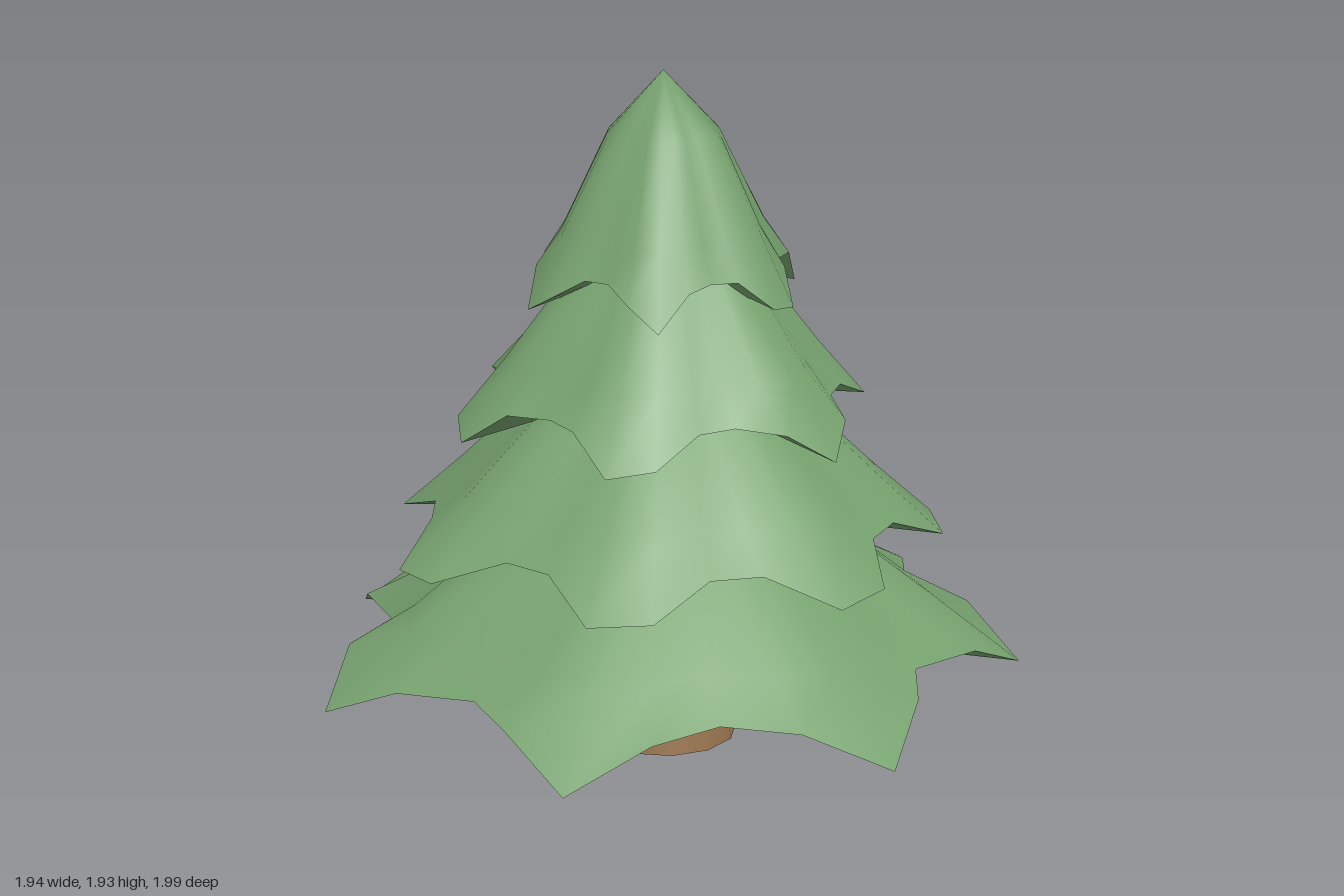
import * as THREE from 'three';

const SEGMENTS = 28;
const CENTRE_X = -0.05;

// Profile of a tier from rim to apex: radius factor, height above rim, lobe depth, tip droop
const RINGS = [
  [1.0, 0.0, 0.13, 0.108],
  [0.79, 0.105, 0.08, 0.015],
  [0.44, 0.36, 0.04, 0],
];
const APEX_HEIGHT = 0.53;

function ringPoints([factor, height, depth, droop], radius, lobes, phase) {
  const points = [];
  for (let j = 0; j < SEGMENTS; j++) {
    const angle = (j / SEGMENTS) * Math.PI * 2;
    const wave = Math.cos(lobes * angle - phase);
    const r = radius * factor * (1 + depth * wave);
    points.push(r * Math.cos(angle), height - droop * Math.max(0, wave), -r * Math.sin(angle));
  }
  return points;
}

function buildGeometry(positions, index) {
  const geometry = new THREE.BufferGeometry();
  geometry.setAttribute('position', new THREE.Float32BufferAttribute(positions, 3));
  geometry.setIndex(index);
  return geometry;
}

// Smooth scalloped skirt, closed by an apex
function skirtGeometry(radius, lobes, phase) {
  const positions = RINGS.flatMap((ring) => ringPoints(ring, radius, lobes, phase));
  const apex = RINGS.length * SEGMENTS;
  positions.push(0, APEX_HEIGHT, 0);
  const index = [];
  for (let i = 0; i < RINGS.length; i++) {
    for (let j = 0; j < SEGMENTS; j++) {
      const a = i * SEGMENTS + j;
      const b = i * SEGMENTS + ((j + 1) % SEGMENTS);
      if (i === RINGS.length - 1) index.push(a, b, apex);
      else index.push(a, b, b + SEGMENTS, a, b + SEGMENTS, a + SEGMENTS);
    }
  }
  const geometry = buildGeometry(positions, index);
  geometry.computeVertexNormals();
  return geometry;
}

// Flat-shaded fan closing the tier from below
function undersideGeometry(radius, lobes, phase) {
  const positions = ringPoints(RINGS[0], radius, lobes, phase);
  positions.push(0, 0, 0);
  const index = [];
  for (let j = 0; j < SEGMENTS; j++) index.push(SEGMENTS, (j + 1) % SEGMENTS, j);
  const geometry = buildGeometry(positions, index).toNonIndexed();
  geometry.computeVertexNormals();
  return geometry;
}

export function createModel() {
  const model = new THREE.Group();
  model.name = 'pineTree';

  const needles = new THREE.MeshStandardMaterial({ color: 0x77a26f });
  needles.name = 'needleGreen';
  const bark = new THREE.MeshStandardMaterial({ color: 0x98734e });
  bark.name = 'barkBrown';

  // Tapered trunk
  const trunk = new THREE.Mesh(new THREE.CylinderGeometry(0.15, 0.21, 0.36, 12), bark);
  trunk.name = 'trunk';
  trunk.position.set(CENTRE_X, 0.18, 0);
  model.add(trunk);

  // Four tiers of branches, each smaller and turned a little further
  const lobeCounts = [7, 7, 6, 6];
  lobeCounts.forEach((lobes, i) => {
    const radius = 0.9035 - 0.181 * i;
    const phase = 0.7 * i;
    const tier = new THREE.Group();
    tier.name = `branchTier${i + 1}`;
    tier.position.set(CENTRE_X, 0.328 + 0.359 * i, 0);
    const skirt = new THREE.Mesh(skirtGeometry(radius, lobes, phase), needles);
    skirt.name = 'branchSkirt';
    const underside = new THREE.Mesh(undersideGeometry(radius, lobes, phase), needles);
    underside.name = 'branchUnderside';
    tier.add(skirt, underside);
    model.add(tier);
  });

  return model;
}
